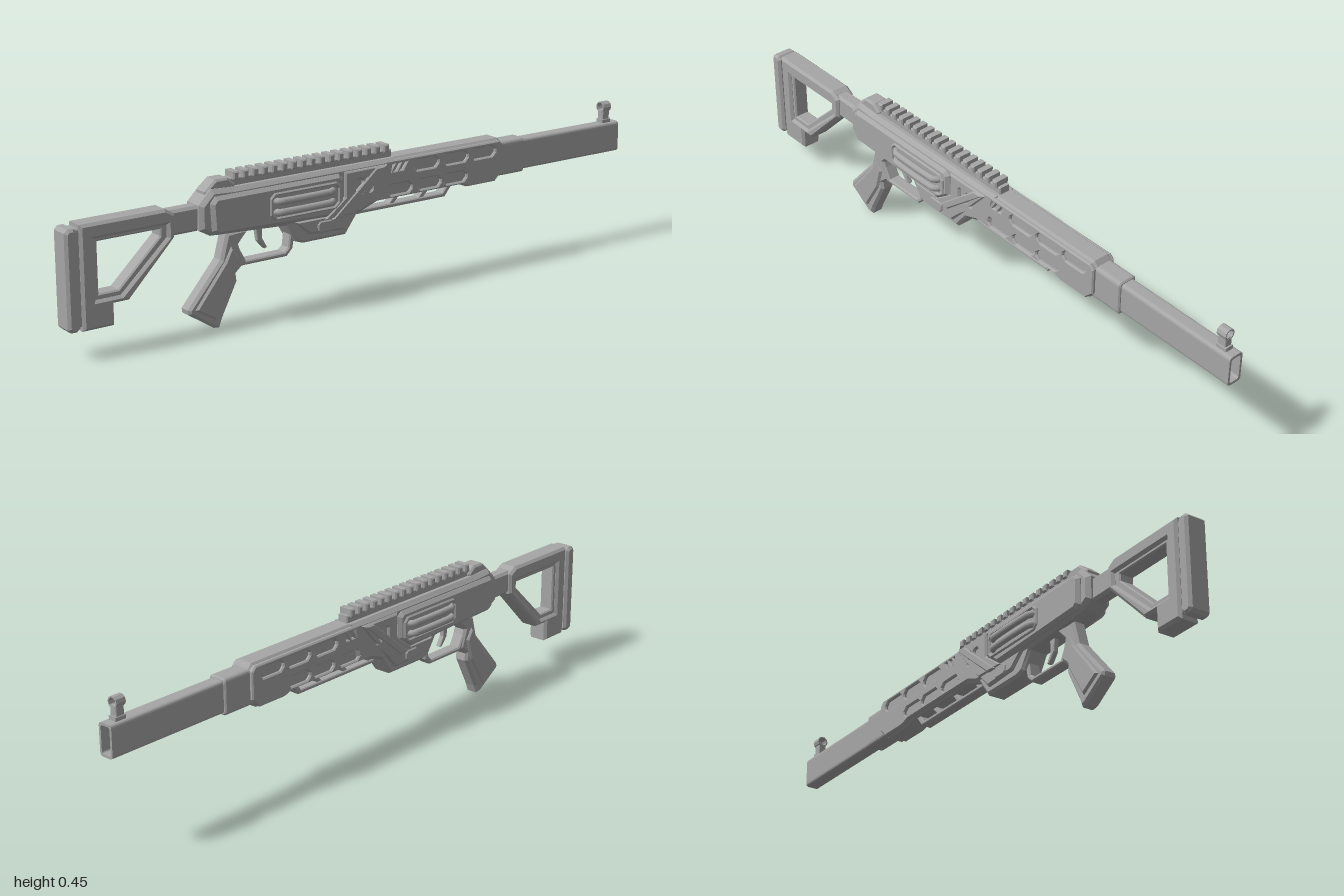
import * as THREE from 'three';

const metal = new THREE.MeshStandardMaterial({ color: 0xa6a6a6 });
metal.name = 'plain grey';

export function createModel() {
  const model = new THREE.Group();

  const add = (name, geometry) => {
    const mesh = new THREE.Mesh(geometry, metal);
    mesh.name = name;
    model.add(mesh);
    return mesh;
  };
  const toPoints = (list) => list.map(([x, y]) => new THREE.Vector2(x, y));

  // Side-profile slab between z0 and z1 with chamfered edges
  const slab = (name, outline, z0, z1, bevel = 0.006, holes = []) => {
    const shape = new THREE.Shape(toPoints(outline));
    holes.forEach((h) => shape.holes.push(new THREE.Path(toPoints(h))));
    const geo = new THREE.ExtrudeGeometry(shape, {
      depth: z1 - z0 - 2 * bevel, bevelEnabled: bevel > 0, bevelThickness: bevel,
      bevelSize: bevel, bevelOffset: -bevel, bevelSegments: 1, curveSegments: 6,
    });
    geo.translate(0, 0, z0 + bevel);
    return add(name, geo);
  };
  const centred = (name, outline, half, bevel, holes) => slab(name, outline, -half, half, bevel, holes);
  const bothSides = (name, outline, z0, z1, bevel, holes) => {
    slab(name + 'Left', outline, z0, z1, bevel, holes);
    slab(name + 'Right', outline, -z1, -z0, bevel, holes);
  };
  const rect = (x0, y0, x1, y1) => [[x0, y0], [x1, y0], [x1, y1], [x0, y1]];
  const octagon = (x0, y0, x1, y1, c) => [
    [x0 + c, y0], [x1 - c, y0], [x1, y0 + c], [x1, y1 - c],
    [x1 - c, y1], [x0 + c, y1], [x0, y1 - c], [x0, y0 + c]];
  const slanted = (x, y, w, h, lean) => [[x, y], [x + w, y], [x + w + lean, y + h], [x + lean, y + h]];

  // Butt pad and skeleton stock
  centred('buttPad', octagon(-1, 0.085, -0.962, 0.374, 0.01), 0.035, 0.008);
  const stockHole = [[-0.9, 0.178], [-0.84, 0.178], [-0.705, 0.305], [-0.705, 0.325], [-0.9, 0.325]];
  centred('stockCore', [[-0.968, 0.095], [-0.865, 0.095], [-0.865, 0.155], [-0.815, 0.155],
    [-0.672, 0.3], [-0.672, 0.37], [-0.968, 0.37]], 0.024, 0.004, [stockHole]);
  centred('stockFrame', [[-0.955, 0.082], [-0.858, 0.082], [-0.858, 0.145], [-0.81, 0.145],
    [-0.662, 0.296], [-0.66, 0.362], [-0.69, 0.38], [-0.955, 0.38]], 0.033, 0.008,
  [[[-0.912, 0.163], [-0.834, 0.163], [-0.685, 0.3], [-0.685, 0.335], [-0.912, 0.335]]]);
  centred('stockNeck', rect(-0.68, 0.297, -0.57, 0.37), 0.023, 0.008);

  // Receiver
  centred('receiver', [[-0.585, 0.3], [-0.55, 0.28], [-0.285, 0.265], [-0.04, 0.26], [0.07, 0.3],
    [0.09, 0.408], [-0.475, 0.408], [-0.545, 0.412], [-0.585, 0.372]], 0.041, 0.012);
  centred('rearSightHump', [[-0.56, 0.39], [-0.46, 0.39], [-0.46, 0.415], [-0.485, 0.435],
    [-0.525, 0.435], [-0.56, 0.405]], 0.026, 0.006);
  bothSides('receiverPanel', [[-0.55, 0.295], [-0.535, 0.283], [-0.16, 0.272], [-0.105, 0.31],
    [-0.105, 0.38], [-0.12, 0.393], [-0.54, 0.393], [-0.555, 0.375]], 0.03, 0.053, 0.01);
  bothSides('ribFrame', octagon(-0.365, 0.295, -0.12, 0.375, 0.015), 0.045, 0.058, 0.004,
    [octagon(-0.355, 0.303, -0.13, 0.367, 0.012)]);

  // Front receiver plate, sloping forward, with three vents
  bothSides('slopedPlate', [[-0.17, 0.265], [-0.06, 0.265], [0.055, 0.395], [-0.1, 0.395], [-0.1, 0.32]],
    0.035, 0.049, 0.005, [-0.092, -0.058, -0.024].map((x) => octagon(x, 0.325, x + 0.022, 0.365, 0.005)));
  bothSides('diagonalTrim', slanted(-0.145, 0.262, 0.035, 0.13, 0.155), 0.04, 0.053, 0.004);

  // Paired raised ribs
  for (const side of [1, -1]) {
    for (const y of [0.318, 0.35]) {
      const path = new THREE.CatmullRomCurve3([[-0.348, 0.04], [-0.335, 0.06], [-0.31, 0.063],
        [-0.18, 0.063], [-0.155, 0.06], [-0.142, 0.04]].map(([x, z]) => new THREE.Vector3(x, y, z * side)));
      add('sideRib', new THREE.TubeGeometry(path, 24, 0.0105, 10));
    }
  }

  // Lower housing and catch
  centred('lowerHousing', [[-0.3, 0.275], [-0.262, 0.212], [-0.235, 0.203], [-0.085, 0.203],
    [-0.05, 0.25], [-0.03, 0.28]], 0.034, 0.008);
  bothSides('housingCheek', [[-0.27, 0.272], [-0.22, 0.228], [-0.1, 0.222], [-0.055, 0.272]], 0.025, 0.044, 0.007);
  bothSides('catch', octagon(-0.195, 0.228, -0.14, 0.262, 0.008), 0.04, 0.048, 0.003);

  // Pistol grip
  const grip = [[-0.49, 0.275], [-0.415, 0.275], [-0.45, 0.235], [-0.43, 0.178], [-0.46, 0.152],
    [-0.457, 0.128], [-0.508, 0.028], [-0.518, 0.002], [-0.535, 0.004], [-0.618, 0.058],
    [-0.62, 0.072], [-0.51, 0.2]];
  centred('grip', grip, 0.024, 0.008);
  bothSides('gripPanel', [[-0.478, 0.235], [-0.455, 0.2], [-0.475, 0.13], [-0.535, 0.03],
    [-0.6, 0.07], [-0.5, 0.195]], 0.015, 0.031, 0.006);

  // Trigger guard and trigger
  centred('triggerGuard', [[-0.46, 0.17], [-0.285, 0.17], [-0.265, 0.19], [-0.25, 0.27], [-0.27, 0.27],
    [-0.28, 0.195], [-0.293, 0.183], [-0.425, 0.183], [-0.445, 0.22], [-0.46, 0.22]], 0.02, 0.004);
  centred('trigger', [[-0.385, 0.28], [-0.36, 0.28], [-0.362, 0.235], [-0.345, 0.205], [-0.355, 0.203],
    [-0.378, 0.23]], 0.008, 0.002);

  // Top rail with teeth
  centred('railBase', rect(-0.475, 0.4, 0.09, 0.43), 0.018, 0.003);
  for (let i = 0; i < 17; i++) {
    const x = -0.465 + i * 0.0328;
    centred('railTooth', rect(x, 0.424, x + 0.019, 0.448), 0.024, 0.004);
  }

  // Handguard core and slotted side shells
  const guard = [[-0.06, 0.285], [0.34, 0.285], [0.37, 0.273], [0.475, 0.273], [0.505, 0.302],
    [0.505, 0.39], [0.49, 0.408], [0.06, 0.408]];
  centred('handguardCore', guard, 0.032, 0.008);
  const slots = [
    ...[0.157, 0.27, 0.378].map((x) => octagon(x, 0.357, x + 0.093, 0.39, 0.012)),
    ...[0.06, 0.17, 0.27].map((x) => octagon(x, 0.296, x + 0.09, 0.328, 0.012)),
    ...[0.06, 0.083, 0.106].map((x) => slanted(x, 0.368, 0.01, 0.022, 0.015)),
    ...[-0.022, 0.001].map((x) => slanted(x, 0.299, 0.01, 0.02, 0.014)),
  ];
  bothSides('handguardShell', [[-0.05, 0.288], [0.34, 0.288], [0.372, 0.277], [0.473, 0.277], [0.502, 0.305],
    [0.502, 0.388], [0.488, 0.402], [0.055, 0.402]], 0.024, 0.041, 0.004, slots);

  // Slim lower rail with slanted struts
  centred('lowerRail', [[-0.06, 0.252], [0.295, 0.252], [0.325, 0.29], [0.305, 0.29], [0.285, 0.264],
    [-0.06, 0.264]], 0.018, 0.003);
  for (const x of [-0.03, 0.08, 0.19]) centred('railStrut', slanted(x, 0.258, 0.02, 0.032, 0.03), 0.014, 0.002);

  // Hollow rounded-rectangle barrel, drawn across z and y then extruded along x
  const rounded = (shape, w, y0, y1, r) => {
    shape.moveTo(-w + r, y0).lineTo(w - r, y0).quadraticCurveTo(w, y0, w, y0 + r);
    shape.lineTo(w, y1 - r).quadraticCurveTo(w, y1, w - r, y1);
    shape.lineTo(-w + r, y1).quadraticCurveTo(-w, y1, -w, y1 - r);
    shape.lineTo(-w, y0 + r).quadraticCurveTo(-w, y0, -w + r, y0);
    return shape;
  };
  const alongX = (name, shape, x0, x1, bevel) => {
    const geo = new THREE.ExtrudeGeometry(shape, { depth: x1 - x0 - 2 * bevel, bevelEnabled: bevel > 0,
      bevelThickness: bevel, bevelSize: bevel, bevelOffset: -bevel, bevelSegments: 1, curveSegments: 5 });
    geo.rotateY(Math.PI / 2);
    geo.translate(x0 + bevel, 0, 0);
    return add(name, geo);
  };
  alongX('barrelCollar', rounded(new THREE.Shape(), 0.031, 0.285, 0.394, 0.014), 0.49, 0.597, 0.004);
  const barrel = rounded(new THREE.Shape(), 0.024, 0.291, 0.388, 0.012);
  barrel.holes.push(rounded(new THREE.Path(), 0.017, 0.299, 0.38, 0.008));
  alongX('barrel', barrel, 0.58, 1, 0);

  // Front sight: post, ring and pin
  centred('sightBase', rect(0.938, 0.38, 0.975, 0.4), 0.014, 0.002);
  centred('sightPost', rect(0.942, 0.385, 0.97, 0.428), 0.012, 0.002);
  const ring = new THREE.Shape().absarc(0, 0.438, 0.0175, 0, Math.PI * 2);
  ring.holes.push(new THREE.Path().absarc(0, 0.438, 0.0135, 0, Math.PI * 2));
  alongX('sightRing', ring, 0.94, 0.972, 0);
  centred('sightPin', rect(0.953, 0.42, 0.959, 0.44), 0.003, 0);

  return model;
}
